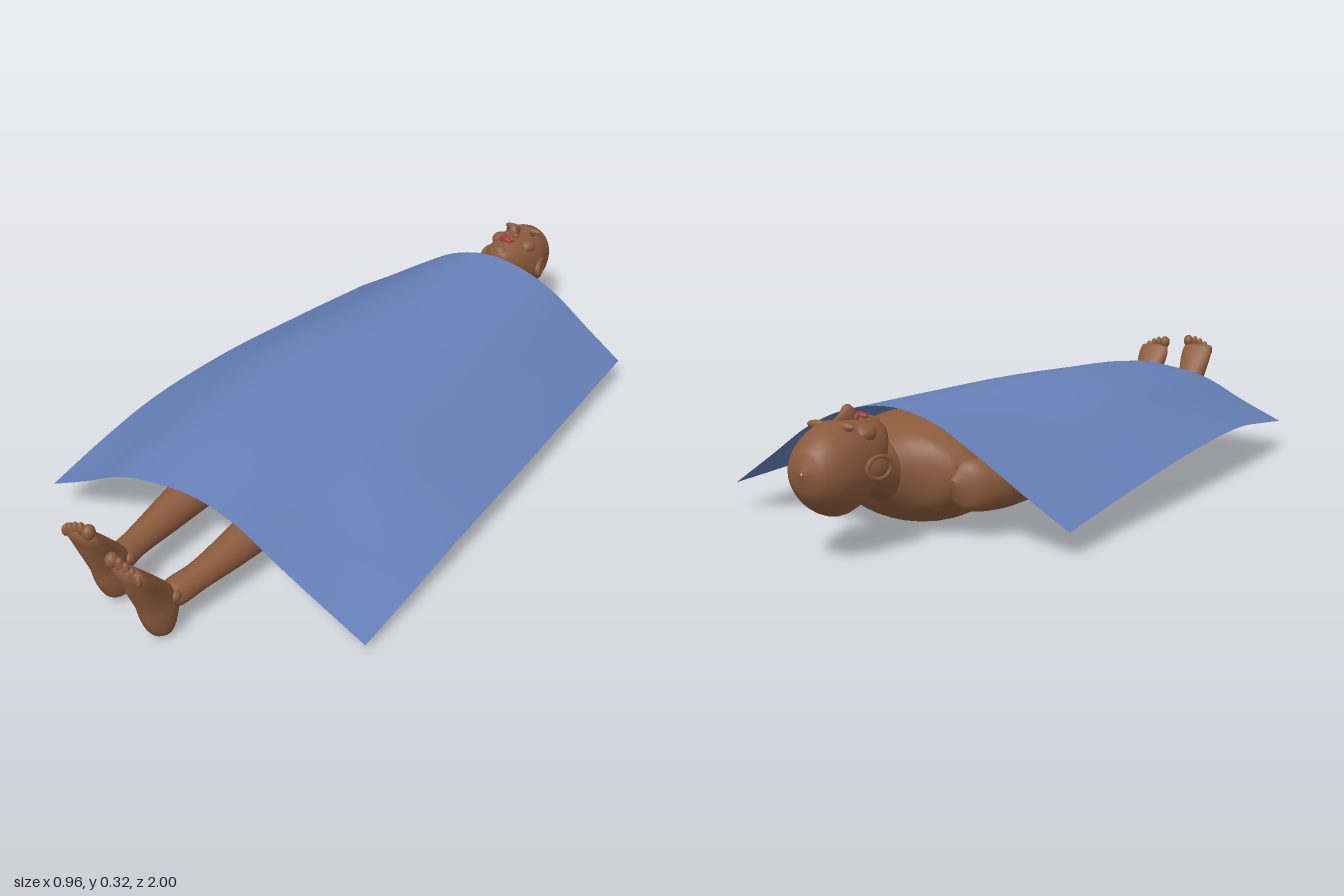
import * as THREE from 'three';

const skin = new THREE.MeshStandardMaterial({ color: 0x8b5a3c });
const lipRed = new THREE.MeshStandardMaterial({ color: 0xa03038 });
const dark = new THREE.MeshStandardMaterial({ color: 0x4a2c1c });
const cloth = new THREE.MeshStandardMaterial({ color: 0x6680b8, side: THREE.DoubleSide });

// Smooth closed loft through elliptical sections [z, x, y, rx, ry]
function loft(sections, sides = 24, steps = 5) {
  const centres = new THREE.CatmullRomCurve3(sections.map(s => new THREE.Vector3(s[1], s[2], s[0])));
  const radii = new THREE.CatmullRomCurve3(sections.map(s => new THREE.Vector3(s[3], s[4], s[0])));
  const rings = (sections.length - 1) * steps;
  const pos = [], idx = [];
  for (let i = 0; i <= rings; i++) {
    const c = centres.getPoint(i / rings), r = radii.getPoint(i / rings);
    for (let j = 0; j < sides; j++) {
      const a = j / sides * Math.PI * 2;
      pos.push(c.x + Math.max(r.x, 0.001) * Math.cos(a), c.y + Math.max(r.y, 0.001) * Math.sin(a), c.z);
      if (i === rings) continue;
      const k = (j + 1) % sides, p = i * sides, q = p + sides;
      idx.push(p + j, p + k, q + j, p + k, q + k, q + j);
    }
  }
  const g = new THREE.BufferGeometry();
  g.setAttribute('position', new THREE.Float32BufferAttribute(pos, 3));
  g.setIndex(idx);
  g.computeVertexNormals();
  return g;
}

function add(parent, name, geometry, material = skin) {
  const m = new THREE.Mesh(geometry, material);
  m.name = name;
  parent.add(m);
  return m;
}

function blob(parent, name, p, s, material = skin) {
  const m = add(parent, name, new THREE.SphereGeometry(1, 16, 12), material);
  m.position.set(...p);
  m.scale.set(...s);
  return m;
}

// Section centred on x = 0, given by its lowest and highest y
const span = ([z, lo, hi, rx]) => [z, 0, (lo + hi) / 2, rx, (hi - lo) / 2];

function makeHead() {
  const head = new THREE.Group();
  head.name = 'head';
  add(head, 'skull', loft([
    [-1, 0.198, 0.202, 0.002], [-0.985, 0.15, 0.245, 0.045], [-0.95, 0.112, 0.275, 0.069],
    [-0.9, 0.09, 0.294, 0.08], [-0.86, 0.094, 0.292, 0.081], [-0.82, 0.112, 0.29, 0.076],
    [-0.78, 0.15, 0.288, 0.064], [-0.75, 0.195, 0.28, 0.046], [-0.733, 0.225, 0.27, 0.028],
    [-0.726, 0.247, 0.25, 0.002]].map(span), 32));
  add(head, 'neck', loft([[-0.86, 0, 0.18, 0.05, 0.06], [-0.77, 0, 0.17, 0.057, 0.062],
    [-0.7, 0, 0.155, 0.066, 0.075], [-0.62, 0, 0.15, 0.09, 0.08]]));
  // Face
  add(head, 'nose', loft([[-0.89, 0, 0.288, 0.006, 0.004], [-0.86, 0, 0.29, 0.009, 0.016],
    [-0.835, 0, 0.296, 0.016, 0.026], [-0.822, 0, 0.293, 0.015, 0.02], [-0.816, 0, 0.288, 0.002, 0.002]], 14));
  blob(head, 'chin', [0, 0.266, -0.75], [0.024, 0.018, 0.018]);
  blob(head, 'upperLip', [0, 0.29, -0.796], [0.024, 0.008, 0.006], lipRed);
  blob(head, 'lowerLip', [0, 0.289, -0.785], [0.02, 0.009, 0.007], lipRed);
  for (const s of [-1, 1]) {
    blob(head, 'brow', [s * 0.034, 0.284, -0.896], [0.026, 0.01, 0.008]);
    blob(head, 'eye', [s * 0.034, 0.28, -0.88], [0.014, 0.006, 0.006], dark);
    blob(head, 'nostrilWing', [s * 0.013, 0.291, -0.825], [0.008, 0.01, 0.009]);
    blob(head, 'cheek', [s * 0.045, 0.262, -0.84], [0.026, 0.02, 0.03]);
    const ear = blob(head, 'ear', [s * 0.085, 0.195, -0.85], [0.01, 0.026, 0.036]);
    ear.rotation.y = s * 0.25;
    const rim = add(head, 'earRim', new THREE.TorusGeometry(0.024, 0.005, 8, 20));
    rim.position.set(s * 0.09, 0.195, -0.852);
    rim.rotation.y = Math.PI / 2 + s * 0.25;
    rim.scale.x = 1.35;
  }
  return head;
}

function makeArm(s, drop) {
  const arm = new THREE.Group();
  arm.name = s > 0 ? 'leftArm' : 'rightArm';
  add(arm, 'armLimb', loft([
    [-0.675, s * 0.16, 0.13, 0.01, 0.01], [-0.65, s * 0.18, 0.125, 0.045, 0.055],
    [-0.58, s * 0.212, 0.12, 0.053, 0.06], [-0.45, s * 0.238, 0.115, 0.046, 0.052],
    [-0.3, s * 0.268, 0.105, 0.039, 0.041], [-0.22, s * 0.28, 0.105, 0.042, 0.041],
    [-0.1, s * 0.295, 0.1 - drop / 2, 0.031, 0.03], [-0.03, s * 0.303, 0.1 - drop, 0.024, 0.02],
    [0.02, s * 0.308, 0.1 - drop, 0.037, 0.02], [0.065, s * 0.312, 0.098 - drop, 0.044, 0.018],
    [0.08, s * 0.312, 0.094 - drop, 0.03, 0.01]]));
  // Four fingers and a thumb, palm down
  for (let i = 0; i < 4; i++) {
    const x = s * (0.279 + i * 0.022), y = 0.096 - drop, tip = 0.148 - Math.abs(i - 1.2) * 0.012;
    add(arm, 'finger', loft([[0.055, x, y, 0.009, 0.009], [0.1, x + s * (i - 1) * 0.003, y - 0.006, 0.01, 0.011],
      [tip - 0.007, x + s * (i - 1) * 0.006, y - 0.022, 0.009, 0.01],
      [tip, x + s * (i - 1) * 0.006, y - 0.026, 0.001, 0.001]], 12, 4));
  }
  add(arm, 'thumb', loft([[0, s * 0.29, 0.095 - drop, 0.012, 0.012], [0.045, s * 0.264, 0.088 - drop, 0.012, 0.013],
    [0.08, s * 0.248, 0.08 - drop, 0.01, 0.01], [0.089, s * 0.246, 0.078 - drop, 0.001, 0.001]], 12, 4));
  return arm;
}

function makeLeg(s, xs, footX, footY, footZ) {
  const leg = new THREE.Group();
  leg.name = s > 0 ? 'leftLeg' : 'rightLeg';
  const rows = [[-0.08, 0.13, 0.03], [0, 0.122, 0.086], [0.1, 0.135, 0.087], [0.25, 0.142, 0.074], [0.4, 0.148, 0.056],
    [0.52, 0.125, 0.055], [0.65, 0.112, 0.045], [0.78, 0.105, 0.034], [0.85, 0.1, 0.034], [0.89, 0.1, 0.02]];
  add(leg, 'legLimb', loft(rows.map(([z, y, r], i) => [z, xs[i], y + footY * z, r, r])));

  // Foot pointing up, lofted from heel to ball
  const foot = new THREE.Group();
  foot.name = 'foot';
  foot.position.set(footX, footY, footZ);
  const sole = loft([
    [0.015, 0, -0.868, 0.008, 0.008], [0.025, 0, -0.869, 0.027, 0.028], [0.07, 0, -0.87, 0.037, 0.05],
    [0.12, 0, -0.88, 0.036, 0.053], [0.17, 0, -0.908, 0.041, 0.043], [0.21, 0, -0.932, 0.047, 0.032],
    [0.24, 0, -0.95, 0.048, 0.023], [0.258, 0, -0.957, 0.04, 0.013], [0.262, 0, -0.958, 0.01, 0.004]], 24);
  sole.rotateX(-Math.PI / 2);
  add(foot, 'sole', sole);
  for (let i = 0; i < 5; i++) {
    const r = i ? 0.0098 - i * 0.0005 : 0.015;
    const x = i ? 0.012 - (i - 1) * 0.017 : 0.034;
    blob(foot, 'toe', [-s * x, 0.268 - i * i * 0.0016, 0.962], [r, 0.019 - i * 0.001, r * 1.1]);
  }
  for (const e of [-1, 1]) blob(foot, 'ankleBone', [e * 0.031, 0.115, 0.845], [0.01, 0.014, 0.014]);
  leg.add(foot);
  return leg;
}

// Draped sheet: rows of [z, half width, nine heights from -x to +x]
function makeBlanket() {
  const rows = [
    [-0.67, 0.447, 0.055, 0.125, 0.198, 0.263, 0.29, 0.277, 0.23, 0.15, 0.07],
    [-0.35, 0.46, 0.09, 0.157, 0.224, 0.27, 0.283, 0.268, 0.22, 0.145, 0.07],
    [0, 0.475, 0.12, 0.187, 0.25, 0.281, 0.278, 0.255, 0.2, 0.135, 0.072],
    [0.3, 0.48, 0.125, 0.182, 0.24, 0.266, 0.262, 0.235, 0.185, 0.125, 0.065],
    [0.5, 0.478, 0.105, 0.16, 0.22, 0.25, 0.25, 0.215, 0.155, 0.1, 0.045],
    [0.69, 0.47, 0.08, 0.135, 0.195, 0.222, 0.23, 0.2, 0.135, 0.075, 0.017]];
  const across = rows.map(([z, w, ...h]) => new THREE.CatmullRomCurve3(
    h.map((y, i) => new THREE.Vector3(w * (i / 4 - 1), y, z))));
  const nu = 40, nv = 50;
  const g = new THREE.PlaneGeometry(1, 1, nu, nv);
  for (let i = 0; i <= nu; i++) {
    const along = new THREE.CatmullRomCurve3(across.map(c => c.getPoint(i / nu)));
    for (let j = 0; j <= nv; j++) {
      const p = along.getPoint(j / nv);
      g.attributes.position.setXYZ(j * (nu + 1) + i, p.x, p.y, p.z);
    }
  }
  g.computeVertexNormals();
  return g;
}

export function createModel() {
  const model = new THREE.Group();
  model.name = 'coveredFigure';
  model.add(makeHead());
  add(model, 'torso', loft([
    [-0.735, 0.11, 0.22, 0.05], [-0.7, 0.07, 0.235, 0.1], [-0.67, 0.045, 0.245, 0.165],
    [-0.62, 0.018, 0.258, 0.2], [-0.54, 0.006, 0.268, 0.205], [-0.4, 0.012, 0.262, 0.185],
    [-0.24, 0.032, 0.245, 0.155], [-0.12, 0.018, 0.235, 0.165], [-0.03, 0.008, 0.23, 0.175],
    [0.05, 0.025, 0.22, 0.165], [0.1, 0.07, 0.2, 0.12], [0.12, 0.13, 0.14, 0.01]].map(span), 36));
  // Buttocks
  for (const s of [-1, 1]) blob(model, 'buttock', [s * 0.08, 0.08, -0.02], [0.082, 0.08, 0.1]);
  model.add(makeArm(1, 0.015), makeArm(-1, 0));
  model.add(makeLeg(1, [0.08, 0.088, 0.094, 0.1, 0.1, 0.095, 0.085, 0.073, 0.06, 0.058], 0.053, -0.013, 0.024));
  model.add(makeLeg(-1, [-0.08, -0.092, -0.1, -0.11, -0.116, -0.122, -0.122, -0.117, -0.112, -0.11], -0.11, 0, -0.008));
  add(model, 'blanket', makeBlanket(), cloth);
  return model;
}
